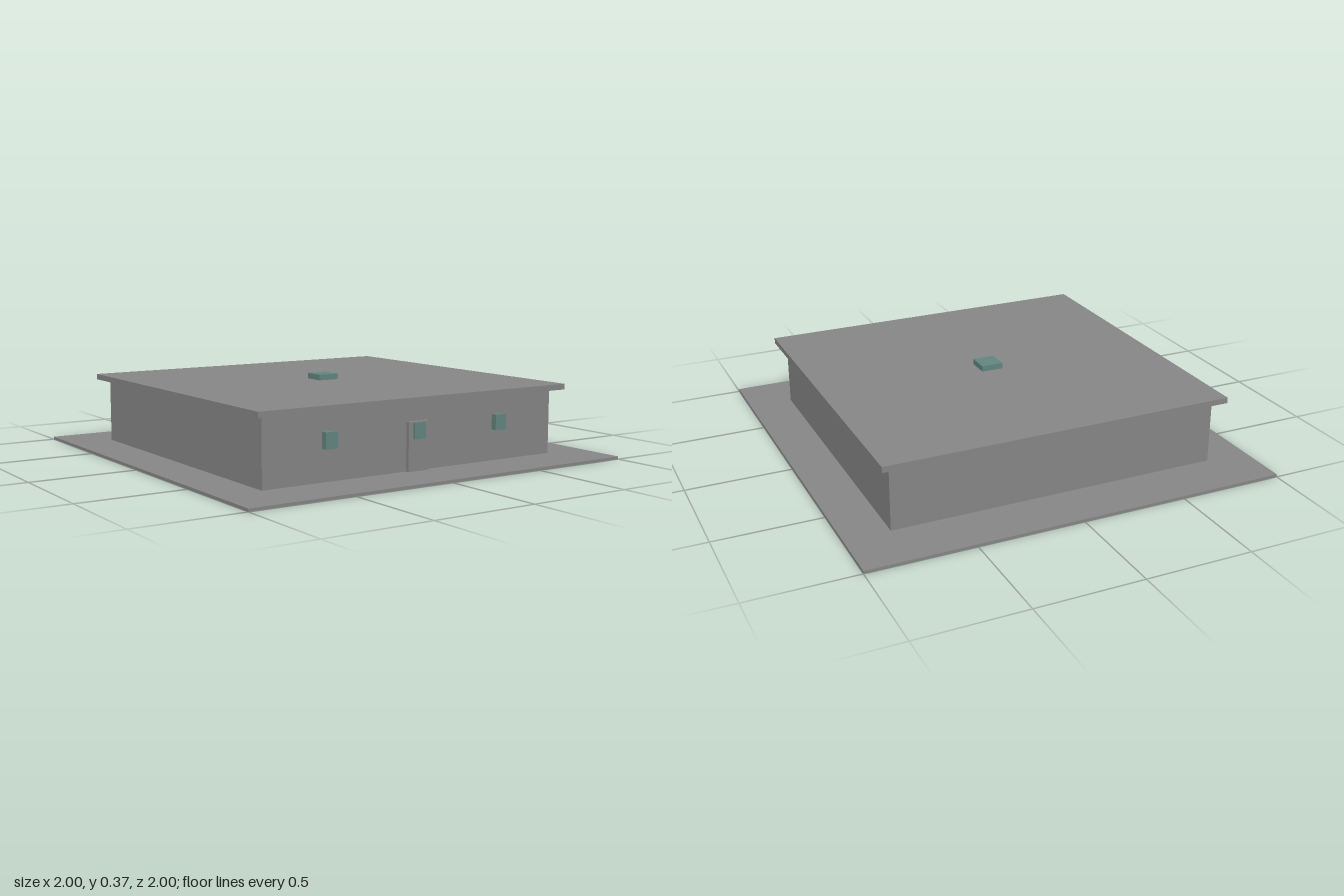
import * as THREE from 'three';

export function createModel() {
  const group = new THREE.Group();
  const concrete = new THREE.MeshStandardMaterial({ color: 0x888888 });
  concrete.name = 'grey concrete';
  const glass = new THREE.MeshStandardMaterial({ color: 0x648782 });
  glass.name = 'teal glass';

  // Box given by its centre in x and z and its bottom height
  function box(name, material, [w, h, d], [x, bottom, z]) {
    const mesh = new THREE.Mesh(new THREE.BoxGeometry(w, h, d), material);
    mesh.name = name;
    mesh.position.set(x, bottom + h / 2, z);
    group.add(mesh);
  }

  // Ground slab, walls and overhanging flat roof
  box('groundSlab', concrete, [2, 0.013, 2], [0, 0, 0]);
  box('walls', concrete, [1.58, 0.309, 1.494], [0, 0.012, 0]);
  box('roof', concrete, [1.675, 0.027, 1.6], [0, 0.32, 0]);

  // Skylight in the middle of the roof
  box('skylight', glass, [0.105, 0.028, 0.105], [0, 0.346, 0]);

  // Door on the front wall
  box('door', concrete, [0.112, 0.223, 0.03], [0, 0.012, 0.75]);

  // One window in the door and one on each side
  const windows = { rightWindow: -0.466, doorWindow: 0, leftWindow: 0.466 };
  for (const [name, x] of Object.entries(windows)) {
    box(name, glass, [0.062, 0.073, 0.034], [x, 0.157, 0.758]);
  }
  return group;
}
